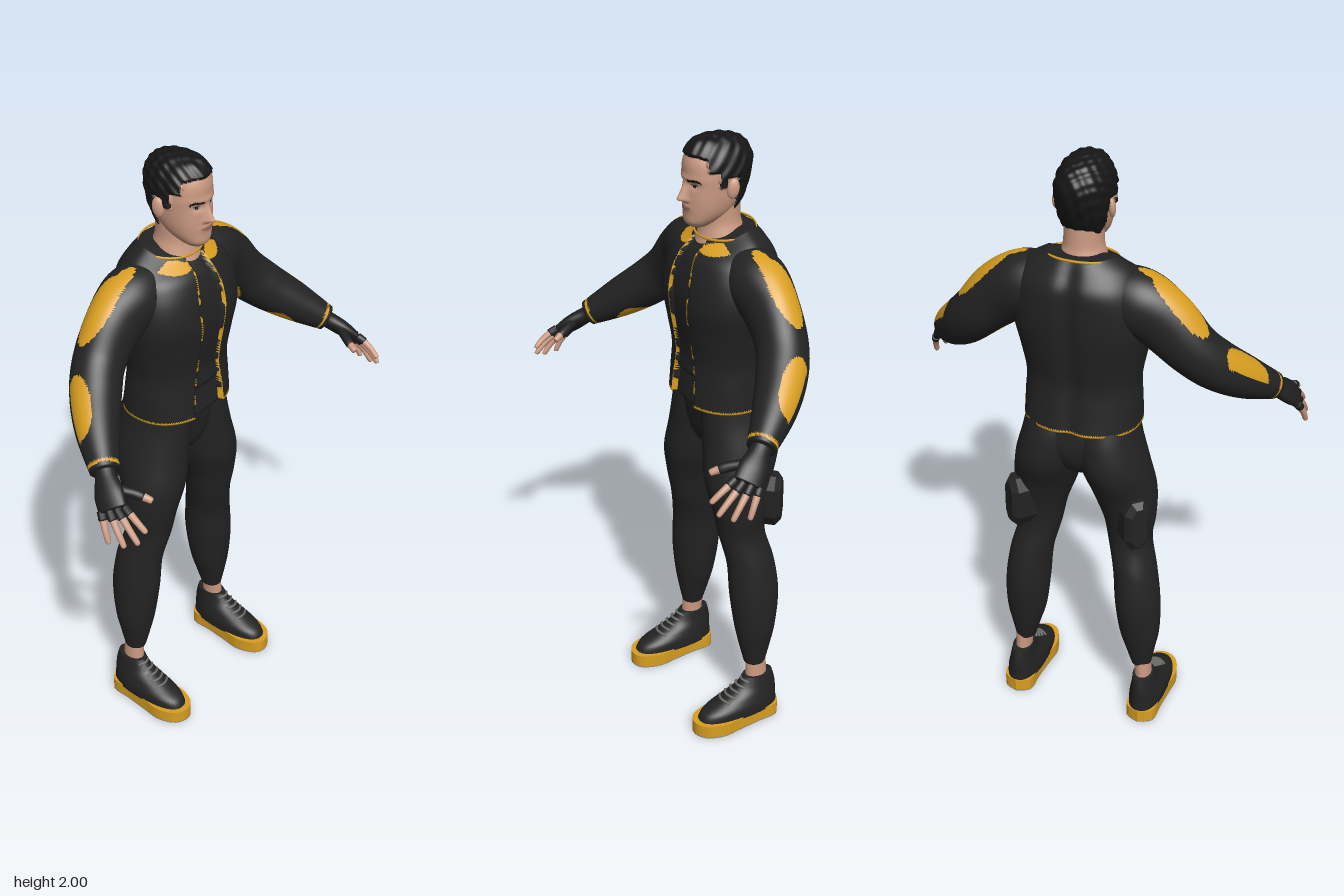
import * as THREE from 'three';

const V = (x, y, z) => new THREE.Vector3(x, y, z);
const ss = THREE.MathUtils.smoothstep;
const bell = (d, w) => Math.exp(-(d * d) / (w * w));
const oval = (a, b, ra, rb) => (a / ra) ** 2 + (b / rb) ** 2 < 1;
const mat = (name, color) => Object.assign(new THREE.MeshStandardMaterial({ color }), { name });

// Smooth closed skin through rows [x, y, z, radiusA, radiusB, power]; side = null keeps rows level
function loft(rows, { side = null, n = 32, k = 8, warp = null } = {}) {
  const row = (i) => rows[Math.min(Math.max(i, 0), rows.length - 1)];
  const cr = (a, b, c, d, t) => 0.5 * (2 * b + (c - a) * t + (2 * a - 5 * b + 4 * c - d) * t * t + (3 * b - a - 3 * c + d) * t ** 3);
  const rings = [];
  for (let i = 0; i < (rows.length - 1) * k + 1; i++) {
    const s = Math.min(Math.floor(i / k), rows.length - 2), t = i / k - s;
    rings.push([0, 1, 2, 3, 4, 5].map((c) => cr(...[-1, 0, 1, 2].map((o) => row(s + o)[c] ?? 2), t)));
  }
  const last = rings.length - 1;
  const at = (i) => V(...rings[Math.min(Math.max(i, 0), last)].slice(0, 3));
  const pos = [], idx = [];
  for (let i = -1; i <= last + 1; i++) {
    const j = Math.min(Math.max(i, 0), last), r = rings[j];
    const cap = i < 0 || i > last ? 0 : 1, c = at(i);
    let s = V(1, 0, 0), u = V(0, 0, 1);
    if (side) {
      const t = at(j + 1).sub(at(j - 1)).normalize();
      s = side.clone().addScaledVector(t, -side.dot(t)).normalize();
      u = s.clone().cross(t);
    }
    for (let q = 0; q < n; q++) {
      const a = (q / n) * Math.PI * 2, e = 2 / r[5], co = Math.cos(a), si = Math.sin(a);
      const p = c.clone().addScaledVector(s, cap * r[3] * Math.sign(co) * Math.abs(co) ** e)
        .addScaledVector(u, cap * r[4] * Math.sign(si) * Math.abs(si) ** e);
      if (warp) warp(p);
      pos.push(p.x, p.y, p.z);
    }
  }
  for (let i = 0; i < last + 2; i++) for (let q = 0; q < n; q++) {
    const a = i * n + q, b = i * n + ((q + 1) % n);
    if (i <= last) idx.push(a, a + n, b + n);
    if (i > 0) idx.push(a, b + n, b);
  }
  const g = new THREE.BufferGeometry();
  g.setAttribute('position', new THREE.Float32BufferAttribute(pos, 3));
  g.setIndex(idx);
  g.computeVertexNormals();
  return g;
}

// Sort faces into material groups by a rule on the face centre
function paint(g, count, rule) {
  const p = g.attributes.position, ix = g.index.array, lists = Array.from({ length: count }, () => []);
  for (let i = 0; i < ix.length; i += 3) {
    const c = V(0, 0, 0);
    for (let j = 0; j < 3; j++) c.add(V(0, 0, 0).fromBufferAttribute(p, ix[i + j]));
    lists[rule(c.divideScalar(3))].push(ix[i], ix[i + 1], ix[i + 2]);
  }
  let start = 0;
  lists.forEach((l, m) => { g.addGroup(start, l.length, m); start += l.length; });
  g.setIndex(lists.flat());
  return g;
}

// Mirror a baked mesh to the other side
function mirrored(m) {
  m.updateMatrix();
  const g = m.geometry.clone().applyMatrix4(m.matrix).scale(-1, 1, 1);
  const ix = g.index ? g.index.array : Uint32Array.from({ length: g.attributes.position.count }, (_, i) => i);
  for (let i = 0; i < ix.length; i += 3) [ix[i + 1], ix[i + 2]] = [ix[i + 2], ix[i + 1]];
  g.setIndex(new THREE.BufferAttribute(ix, 1));
  const out = new THREE.Mesh(g, m.material);
  out.name = m.name.replace('left', 'right');
  return out;
}

export function createModel() {
  const model = new THREE.Group();
  const cloth = mat('dark cloth', 0x232324), gold = mat('gold', 0xd89e20), lace = mat('lace grey', 0x6e6e69);
  const skin = mat('skin', 0xcb9a82), hair = mat('hair', 0x161617), lips = mat('lips', 0xa87262);
  const eye = mat('eye white', 0xa89c94), glove = mat('glove', 0x1f1f21), rubber = mat('sole rubber', 0x8c8c88);
  const add = (name, geo, m) => {
    const mesh = new THREE.Mesh(geo, m);
    mesh.name = name;
    model.add(mesh);
    return mesh;
  };
  const pair = (name, geo, m, place) => {
    const mesh = add('left' + name, geo, m);
    if (place) place(mesh);
    model.add(mirrored(mesh));
  };

  // Jacket body with open front, hem, zip edges and collar patches
  const open = (y) => 0.047 + 0.018 * (1 - ss(y, 1.17, 1.35)) + 0.006 * bell(y - 1.53, 0.06) - 0.012 * ss(y, 1.58, 1.66);
  const jacket = loft([
    [0, 1.155, -0.115, 0.185, 0.144, 2.3], [0, 1.23, -0.112, 0.182, 0.134, 2.3], [0, 1.31, -0.11, 0.179, 0.127, 2.3],
    [0, 1.4, -0.11, 0.195, 0.14, 2.3], [0, 1.49, -0.111, 0.212, 0.151, 2.4], [0, 1.57, -0.118, 0.207, 0.148, 2.4],
    [0, 1.635, -0.127, 0.19, 0.136, 2.2], [0, 1.685, -0.127, 0.16, 0.11, 2], [0, 1.72, -0.127, 0.108, 0.084, 2],
  ], { n: 168, k: 10, warp: (p) => {
    if (p.z > -0.06 && Math.abs(p.x) < open(p.y)) p.z -= p.y < 1.25 ? 0.02 : 0.01;
    p.z += 0.012 * bell(p.x, 0.03) * ss(-p.z, 0.15, 0.25);
    p.y -= 0.03 * ss(p.y, 1.62, 1.72) * ss(p.z, -0.15, -0.05);
  } });
  add('jacket', paint(jacket, 2, (p) => {
    const x = Math.abs(p.x), front = p.z > -0.07;
    if (front && Math.abs(x - open(p.y) - 0.003) < 0.0031 && p.y < 1.68) return 1;
    if (front && x < open(p.y)) return 0;
    if (p.y > 1.1555 && p.y < 1.162) return 1;
    return front && oval(x - 0.088, p.y - 1.672 + 0.1 * (0.088 - x), 0.052, 0.017) ? 1 : 0;
  }), [cloth, gold]);
  const collar = add('collarTrim', new THREE.TorusGeometry(0.109, 0.004, 6, 48), gold);
  collar.scale.set(1, 0.81, 1);
  collar.rotation.x = -Math.PI / 2 + 0.17;
  collar.position.set(0, 1.704, -0.127);

  // Sleeves with padded gold patches and cuff stitching
  const wrist = V(0.545, 1.255, 0.075), armDir = V(0.54, -0.47, 0.69);
  const sleeve = loft([
    [0.1, 1.6, -0.13, 0.085, 0.085], [0.18, 1.582, -0.132, 0.1, 0.095], [0.26, 1.53, -0.131, 0.098, 0.082],
    [0.34, 1.45, -0.12, 0.083, 0.078], [0.405, 1.385, -0.08, 0.077, 0.077], [0.475, 1.32, -0.012, 0.066, 0.066],
    [wrist.x, wrist.y, wrist.z, 0.043, 0.043],
  ], { side: V(0.6, 0.8, 0), n: 76, k: 15 });
  pair('Sleeve', paint(sleeve, 2, (p) => {
    const mid = 1.81 - 1.06 * p.x, end = p.clone().sub(wrist).dot(armDir);
    if (end > -0.02 && end < -0.012) return 1;
    // shoulder pad, tapering toward the neck
    if (p.y > mid && (oval(p.x - 0.305, p.z + 0.141, 0.086, 0.046) || oval(p.x - 0.245, p.z + 0.125, 0.075, 0.026))) return 1;
    // forearm pads, above and below
    const along = (x, z) => [x * 0.53 + z * 0.85, x * 0.85 - z * 0.53];
    const axisY = 1.385 - 0.65 * (0.53 * p.x + 0.85 * p.z - 0.147);
    if (p.y > axisY + 0.012 && oval(...along(p.x - 0.497, p.z + 0.067), 0.08, 0.038)) return 1;
    if (p.y < axisY - 0.03 && oval(...along(p.x - 0.42, p.z + 0.035), 0.06, 0.035)) return 1;
    // underarm pad
    return p.y < mid - 0.03 && p.x < 0.34 && oval(p.x - 0.25, p.z + 0.115, 0.05, 0.045) ? 1 : 0;
  }), [cloth, gold]);

  // Fingerless gloves and hands
  const across = V(-0.37, 0.37, 0.86);
  pair('Glove', loft([[0.53, 1.268, 0.057, 0.034, 0.03], [0.55, 1.247, 0.083, 0.033, 0.027],
    [0.577, 1.217, 0.118, 0.046, 0.025], [0.6, 1.187, 0.152, 0.045, 0.018]], { side: across, n: 24 }), glove);
  const finger = (name, a, b, c, split, r) => {
    const curve = new THREE.QuadraticBezierCurve3(a, b, c);
    const piece = (t0, t1, r0, r1) => loft([0, 0.5, 0.92, 1].map((f, i) => {
      const p = curve.getPoint(t0 + (t1 - t0) * f), w = i === 3 ? r1 * 0.55 : r0 + (r1 - r0) * f;
      return [p.x, p.y, p.z, w, w];
    }), { side: across, n: 10, k: 3 });
    pair(name + 'Sleeve', piece(0, split, r * 1.2, r * 1.12), glove);
    pair(name, piece(split - 0.08, 1, r, r * 0.72), skin);
  };
  const tips = [[0.583, 1.15, 0.262], [0.606, 1.116, 0.252], [0.625, 1.098, 0.215], [0.636, 1.095, 0.165]];
  tips.forEach((t, i) => {
    const base = V(0.583, 1.203, 0.182).lerp(V(0.613, 1.175, 0.12), i / 3), tip = V(...t);
    finger('Finger' + (i + 1), base, base.clone().lerp(tip, 0.5).add(V(0.008, 0.008, 0.004)), tip, 0.3, 0.0115);
  });
  finger('Thumb', V(0.565, 1.228, 0.118), V(0.53, 1.222, 0.165), V(0.508, 1.198, 0.222), 0.8, 0.013);

  // Neck, and head with painted features and cropped hair
  add('neck', loft([[0, 1.63, -0.1, 0.085, 0.08], [0, 1.7, -0.112, 0.07, 0.07], [0, 1.74, -0.11, 0.06, 0.063],
    [0, 1.8, -0.105, 0.06, 0.065]]), skin);
  const hairLine = (p) => p.z > -0.03 ? 1.945 - 0.3 * Math.max(0, Math.abs(p.x) - 0.035)
    : p.z > -0.062 ? 1.9 : p.z > -0.085 ? 1.855 : p.z > -0.122 ? 1.882 : 1.772;
  const head = loft([
    [0, 1.726, -0.035, 0.025, 0.028], [0, 1.742, -0.04, 0.044, 0.048, 2.2], [0, 1.77, -0.062, 0.062, 0.072, 2.2],
    [0, 1.805, -0.077, 0.072, 0.088, 2.2], [0, 1.845, -0.086, 0.077, 0.096, 2.2], [0, 1.885, -0.091, 0.079, 0.103, 2.2],
    [0, 1.925, -0.094, 0.075, 0.105, 2.1], [0, 1.957, -0.094, 0.062, 0.092], [0, 1.979, -0.093, 0.042, 0.065], [0, 1.989, -0.092, 0.013, 0.02],
  ], { n: 130, k: 11, warp: (p) => {
    const x = Math.abs(p.x), y = p.y;
    if (y > hairLine(p)) {
      const d = p.clone().sub(V(0, 1.88, -0.09)).normalize();
      const tuft = Math.sin(p.x * 170 + y * 60) * Math.sin(p.z * 150 + y * 130);
      p.addScaledVector(d, 0.009 + 0.0025 * tuft);
    } else if (p.z > -0.05) {
      const s = THREE.MathUtils.clamp((1.875 - y) / 0.058, 0, 1);
      p.z += 0.029 * s * ss(y, 1.802, 1.816) * bell(x, 0.008 + 0.006 * s);
      p.z -= 0.008 * bell(x - 0.031, 0.017) * bell(y - 1.861, 0.012);
      p.z += 0.004 * bell(y - 1.879, 0.01) * bell(x, 0.05) + 0.005 * bell(x, 0.022) * bell(y - 1.791, 0.009);
    }
  } });
  add('head', paint(head, 4, (p) => {
    const x = Math.abs(p.x), y = p.y;
    if (y > hairLine(p) + 0.001) return 1;
    if (p.z < -0.05) return 0;
    if (x > 0.014 && x < 0.054 && Math.abs(y - 1.873 - 0.12 * (x - 0.014) + 40 * Math.max(0, x - 0.04) ** 2) < 0.004) return 1;
    if (oval(x - 0.032, y - 1.859, 0.014, 0.0048)) return Math.abs(x - 0.032) < 0.006 || y > 1.861 ? 1 : 2;
    return oval(x, y - 1.79, 0.025, 0.0065) ? 3 : 0;
  }), [skin, hair, eye, lips]);
  pair('Ear', new THREE.SphereGeometry(1, 16, 12), skin, (m) => {
    m.scale.set(0.011, 0.031, 0.019);
    m.position.set(0.083, 1.85, -0.104);
    m.rotation.set(-0.15, -0.35, 0);
  });

  // Trousers
  add('hips', loft([[0, 0.965, -0.125, 0.04, 0.05], [0, 1.01, -0.128, 0.1, 0.095], [0, 1.09, -0.13, 0.175, 0.115, 2.3],
    [0, 1.2, -0.115, 0.168, 0.112, 2.2]], { n: 48 }), cloth);
  pair('TrouserLeg', loft([
    [0.082, 1.21, -0.115, 0.088, 0.108], [0.09, 1.11, -0.13, 0.098, 0.126], [0.108, 1.01, -0.131, 0.107, 0.129],
    [0.132, 0.9, -0.108, 0.103, 0.111], [0.15, 0.8, -0.105, 0.085, 0.091], [0.155, 0.71, -0.11, 0.071, 0.079],
    [0.18, 0.6, -0.132, 0.071, 0.081], [0.193, 0.48, -0.14, 0.074, 0.084], [0.201, 0.36, -0.14, 0.067, 0.069],
    [0.206, 0.28, -0.139, 0.049, 0.053], [0.21, 0.215, -0.138, 0.034, 0.037]].reverse(), { n: 40 }), cloth);

  // Bevelled pouches on the outer back of the thighs
  const pouch = new THREE.Shape([[-0.02, -0.09], [0.02, -0.09], [0.044, -0.05], [0.044, 0.05], [0.02, 0.09], [-0.02, 0.09],
    [-0.044, 0.05], [-0.044, -0.05]].map((p) => new THREE.Vector2(...p)));
  pair('ThighPouch', new THREE.ExtrudeGeometry(pouch, { depth: 0.062, bevelThickness: 0.018, bevelSize: 0.018, bevelOffset: -0.018, bevelSegments: 1 }),
    cloth, (m) => {
      m.position.set(0.166, 0.83, -0.162);
      m.rotation.y = Math.PI * 0.76;
    });

  // Ankles and laced shoes
  pair('Ankle', loft([[0.22, 0.1, -0.14, 0.03, 0.04], [0.218, 0.17, -0.14, 0.028, 0.038], [0.214, 0.24, -0.14, 0.028, 0.036]]), skin);
  const outline = [[0, 0.218], [0.047, 0.193], [0.053, 0.12], [0.06, 0.04], [0.065, -0.02], [0.047, -0.075], [0.015, -0.1],
    [-0.02, -0.1], [-0.047, -0.075], [-0.064, -0.02], [-0.058, 0.04], [-0.05, 0.12], [-0.046, 0.193]];
  const soleShape = new THREE.Shape(new THREE.SplineCurve([...outline, outline[0]].map((p) => new THREE.Vector2(...p))).getPoints(52).slice(0, -1));
  const slab = (y, depth) => new THREE.ExtrudeGeometry(soleShape, { depth, bevelEnabled: false }).rotateX(-Math.PI / 2).translate(0.224, y, 0);
  pair('Sole', slab(0.004, 0.044), gold);
  pair('SoleTread', slab(0, 0.004), rubber);
  pair('ShoeUpper', loft([
    [0.224, 0.042, -0.064, 0.059, 0.15, 2.4], [0.224, 0.072, -0.072, 0.058, 0.139, 2.3], [0.223, 0.1, -0.102, 0.05, 0.109, 2.2],
    [0.222, 0.13, -0.133, 0.041, 0.076], [0.22, 0.168, -0.145, 0.034, 0.054]], { n: 40 }), cloth);
  for (let i = 0; i < 5; i++) {
    const z = -0.084 + i * 0.02, y = 0.16 - i * 0.0135, w = 0.022 + i * 0.003;
    const path = new THREE.CatmullRomCurve3([V(0.223 - w, y - 0.007, z - 0.012), V(0.223 - w * 0.5, y - 0.001, z - 0.001), V(0.223, y, z + 0.003),
      V(0.223 + w * 0.5, y - 0.001, z - 0.001), V(0.223 + w, y - 0.007, z - 0.012)]);
    pair('Lace' + (i + 1), new THREE.TubeGeometry(path, 12, 0.0045, 6), lace);
  }
  return model;
}
